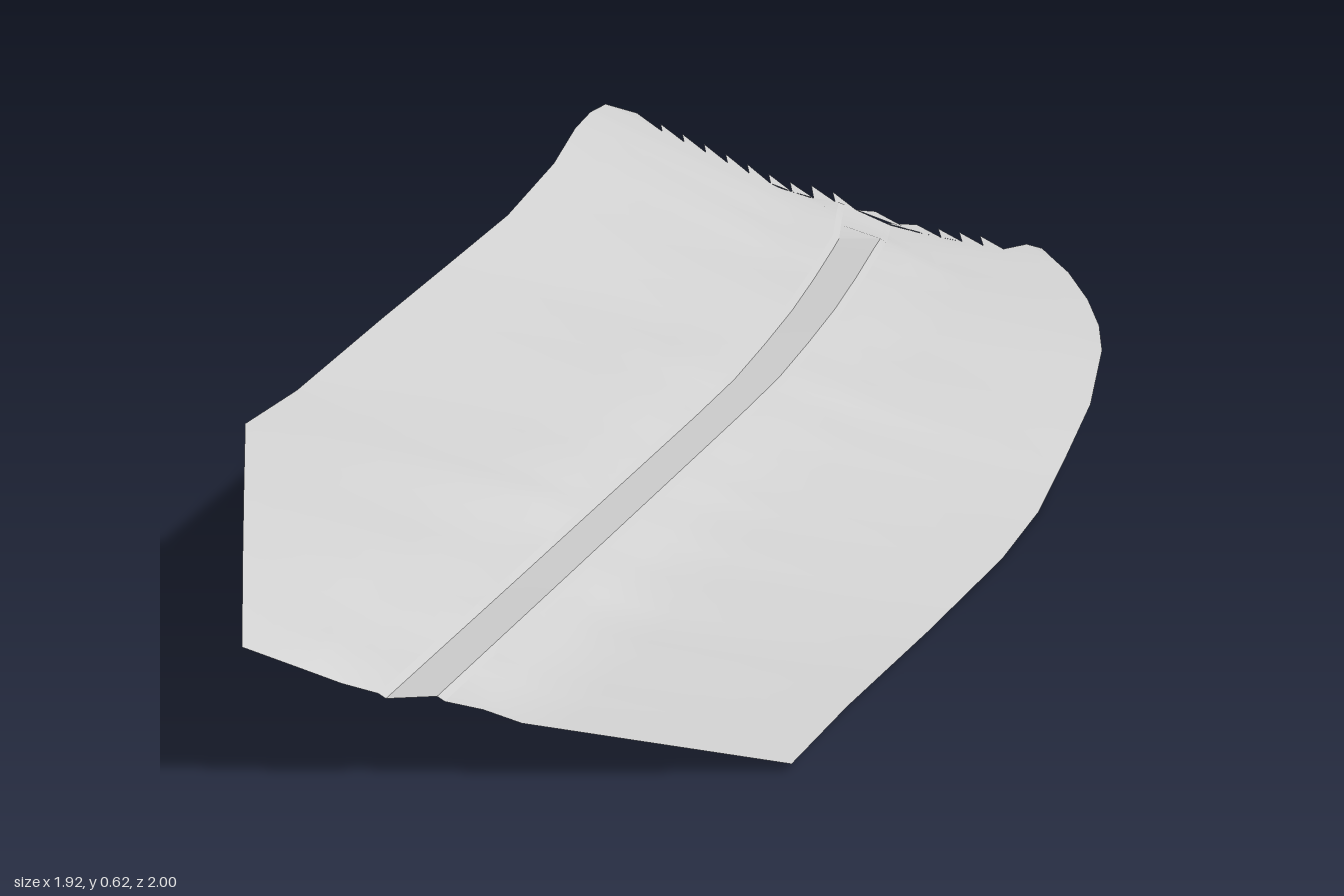
import * as THREE from 'three';

// Plan and height tables, each row is z, x, y
const upperEdge = [[1, -0.96, 0.33], [0.8, -0.96, 0.4], [0.6, -0.96, 0.45], [0.4, -0.96, 0.49], [0.25, -0.86, 0.485],
  [0, -0.685, 0.52], [-0.2, -0.55, 0.54], [-0.4, -0.41, 0.565], [-0.6, -0.3, 0.597], [-0.75, -0.245, 0.616],
  [-0.85, -0.205, 0.613], [-0.95, -0.165, 0.59], [-1, -0.1, 0.55]];
const lowerEdge = [[1, 0.07, 0.02], [0.8, 0.2, 0.02], [0.5, 0.4, 0.005], [0.2, 0.6, 0], [0, 0.71, 0], [-0.2, 0.8, 0.02],
  [-0.4, 0.89, 0.05], [-0.6, 0.95, 0.085], [-0.7, 0.96, 0.1], [-0.8, 0.95, 0.12], [-0.9, 0.92, 0.145],
  [-0.95, 0.89, 0.16], [-1, 0.84, 0.175]];
const roadLine = [[1, -0.65, 0.205], [0.6, -0.39, 0.222], [0, 0.015, 0.264], [-0.15, 0.11, 0.272], [-0.3, 0.19, 0.28],
  [-0.45, 0.265, 0.287], [-0.6, 0.33, 0.292], [-0.8, 0.41, 0.297], [-1, 0.45, 0.29]];

function sample(table, z) {
  let i = 0;
  while (i < table.length - 2 && z < table[i + 1][0]) i++;
  const a = table[i], b = table[i + 1];
  const t = THREE.MathUtils.clamp((a[0] - z) / (a[0] - b[0]), 0, 1);
  return [a[1] + (b[1] - a[1]) * t, a[2] + (b[2] - a[2]) * t];
}

// Small repeatable roughness for the cut and fill banks
const rough = (k) => {
  const s = Math.sin(k * 12.9898) * 43758.5453;
  return s - Math.floor(s) - 0.5;
};

// Cross-section of the hillside at depth z, from the upper to the lower edge
function section(z) {
  const [xl, yl] = sample(upperEdge, z), [xr, yr] = sample(lowerEdge, z), [xc, yc] = sample(roadLine, z);
  const flat = 1 - THREE.MathUtils.smoothstep(-z, 0.78, 0.9);
  const hw = 0.048, kerb = 0.062, tilt = 0.025 * (1 - flat), step = 0.012 * flat + 0.032 * (1 - flat);
  const upper = [], lower = [];
  const bank = Math.min(0.13, (xc - kerb - xl) * 0.6);
  const bl = [xc - kerb - bank + rough(z * 7 + 1) * 0.03, yc + 0.07 + rough(z * 7 + 2) * 0.008];
  const br = [xc + kerb + 0.13 + rough(z * 7 + 3) * 0.03, yc - 0.07 + rough(z * 7 + 4) * 0.008];
  for (let i = 0; i <= 6; i++) {
    const t = i / 6;
    upper.push([xl + (bl[0] - xl) * t, yl + (bl[1] - yl) * t]);
    lower.push([br[0] + (xr - br[0]) * t, br[1] + (yr - br[1]) * t]);
  }
  const kl = [xc - kerb, yc + step], kr = [xc + kerb, yc - step];
  const mid = (a, b, k) => [(a[0] + b[0]) / 2, (a[1] + b[1]) / 2 + rough(z * 7 + k) * 0.012];
  upper.push(mid(bl, kl, 5), kl);
  lower.unshift(kr, mid(br, kr, 6));
  const rl = [xc - hw, yc + tilt], rr = [xc + hw, yc - tilt];
  return { upper, upperKerb: [kl, rl], road: [rl, rr], lowerKerb: [rr, kr], lower };
}

// Height of the ground at any point
function heightAt(x, z) {
  const s = section(z);
  const pts = [...s.upper, ...s.road, ...s.lower];
  let i = 0;
  while (i < pts.length - 2 && x > pts[i + 1][0]) i++;
  const a = pts[i], b = pts[i + 1];
  const t = THREE.MathUtils.clamp((x - a[0]) / (b[0] - a[0]), 0, 1);
  return a[1] + (b[1] - a[1]) * t;
}

// Surface joining one named part of successive cross-sections
function loft(part, zs) {
  const pos = [], index = [];
  let n = 0;
  zs.forEach((z, r) => {
    const row = section(z)[part];
    n = row.length;
    row.forEach(([x, y]) => pos.push(x, y, z));
    if (r === 0) return;
    for (let c = 0; c < n - 1; c++) {
      const a = (r - 1) * n + c, d = r * n + c;
      index.push(a, a + 1, d, a + 1, d + 1, d);
    }
  });
  const g = new THREE.BufferGeometry();
  g.setAttribute('position', new THREE.Float32BufferAttribute(pos, 3));
  g.setIndex(index);
  g.computeVertexNormals();
  return g;
}

// Torn back edge: saw teeth as [x, z] triangles and corner pieces
function backTeeth() {
  const pos = [], base = -0.95;
  const put = (...pts) => pts.forEach(([x, z]) => pos.push(x, heightAt(x, z), z));
  put([-0.165, base], [-0.035, base], [-0.09, -1]);
  put([-0.165, base], [-0.09, -1], [-0.145, -0.985]);
  for (let i = 0; i < 16; i++) {
    const x = -0.035 + i * 0.0505;
    if (i === 9) put([x, base], [x + 0.13, base], [x + 0.05, -0.99]);
    else if (i === 11) put([x - 0.03, base], [x + 0.07, base], [x + 0.05, -1]);
    else if (i !== 10) put([x, base], [x + 0.05, base], [x, -1]);
  }
  put([0.77, base], [0.89, base], [0.835, -1]);
  put([0.89, base], [0.87, -0.985], [0.835, -1]);
  const g = new THREE.BufferGeometry();
  g.setAttribute('position', new THREE.Float32BufferAttribute(pos, 3));
  g.computeVertexNormals();
  return g;
}

export function createModel() {
  const group = new THREE.Group();
  group.name = 'hillsideRoad';
  const ground = new THREE.MeshStandardMaterial({ color: 0xcccccc, side: THREE.DoubleSide });
  ground.name = 'paleGrey';
  const add = (name, geometry) => {
    const mesh = new THREE.Mesh(geometry, ground);
    mesh.name = name;
    group.add(mesh);
  };

  const rows = [];
  for (let i = 0; i <= 39; i++) rows.push(1 - i * 0.05);

  add('upperSlope', loft('upper', rows));
  add('upperKerb', loft('upperKerb', rows));
  add('road', loft('road', rows.filter((z) => z > -0.81)));
  add('roadEnd', loft('road', rows.filter((z) => z < -0.79)));
  add('lowerKerb', loft('lowerKerb', rows));
  add('lowerSlope', loft('lower', rows));
  add('tornBackEdge', backTeeth());
  return group;
}
